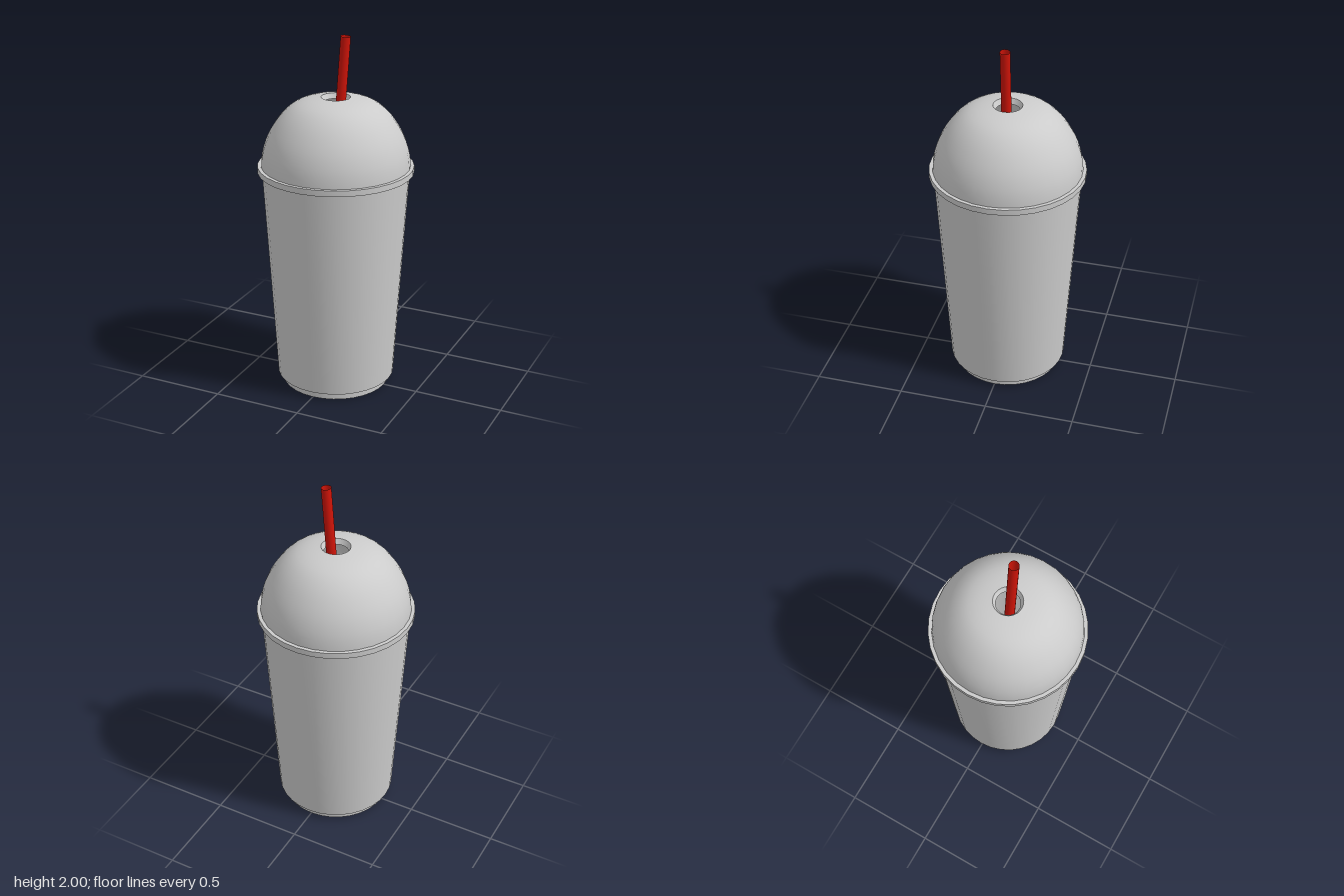
import * as THREE from 'three';
import { toCreasedNormals } from 'three/addons/utils/BufferGeometryUtils.js';

const SIDES = 32;

const grey = new THREE.MeshStandardMaterial({ color: 0xcccccc, side: THREE.DoubleSide });
const red = new THREE.MeshStandardMaterial({ color: 0xd01408, side: THREE.DoubleSide });

// Turned part from [radius, height] pairs, with sharp corners kept
function turned(name, profile) {
  const points = profile.map(([r, y]) => new THREE.Vector2(r, y));
  const geometry = toCreasedNormals(new THREE.LatheGeometry(points, SIDES), 0.6);
  const mesh = new THREE.Mesh(geometry, grey);
  mesh.name = name;
  return mesh;
}

export function createModel() {
  const model = new THREE.Group();
  model.name = 'cupWithStraw';

  // Open tapered cup with a stepped foot and a slightly recessed base
  model.add(turned('cup', [
    [0, 0.02], [0.295, 0.02], [0.295, 0], [0.302, 0],
    [0.302, 0.045], [0.33, 0.045], [0.403, 1.25],
  ]));

  // Flat collar where the lid grips the cup
  model.add(turned('lidRim', [
    [0.4, 1.25], [0.427, 1.25], [0.427, 1.283], [0.4, 1.283], [0.4, 1.25],
  ]));

  // Domed lid, its top edge turned down into the straw hole
  const dome = new THREE.SplineCurve([
    [0.408, 1.27], [0.4, 1.35], [0.372, 1.44], [0.327, 1.52],
    [0.278, 1.58], [0.22, 1.625], [0.15, 1.651], [0.079, 1.663],
  ].map(([r, y]) => new THREE.Vector2(r, y)));
  model.add(turned('domeLid', [
    ...dome.getPoints(16).map((p) => [p.x, p.y]),
    [0.064, 1.635],
  ]));

  // Leaning hollow straw, reaching down to the cup floor
  const top = new THREE.Vector3(0.057, 1.998, 0);
  const bottom = new THREE.Vector3(-0.09, 0.06, 0);
  const axis = top.clone().sub(bottom);
  const straw = new THREE.Mesh(
    new THREE.CylinderGeometry(0.027, 0.027, axis.length(), 20, 1, true), red);
  straw.name = 'straw';
  straw.position.copy(top).add(bottom).multiplyScalar(0.5);
  straw.quaternion.setFromUnitVectors(new THREE.Vector3(0, 1, 0), axis.normalize());
  model.add(straw);

  return model;
}
